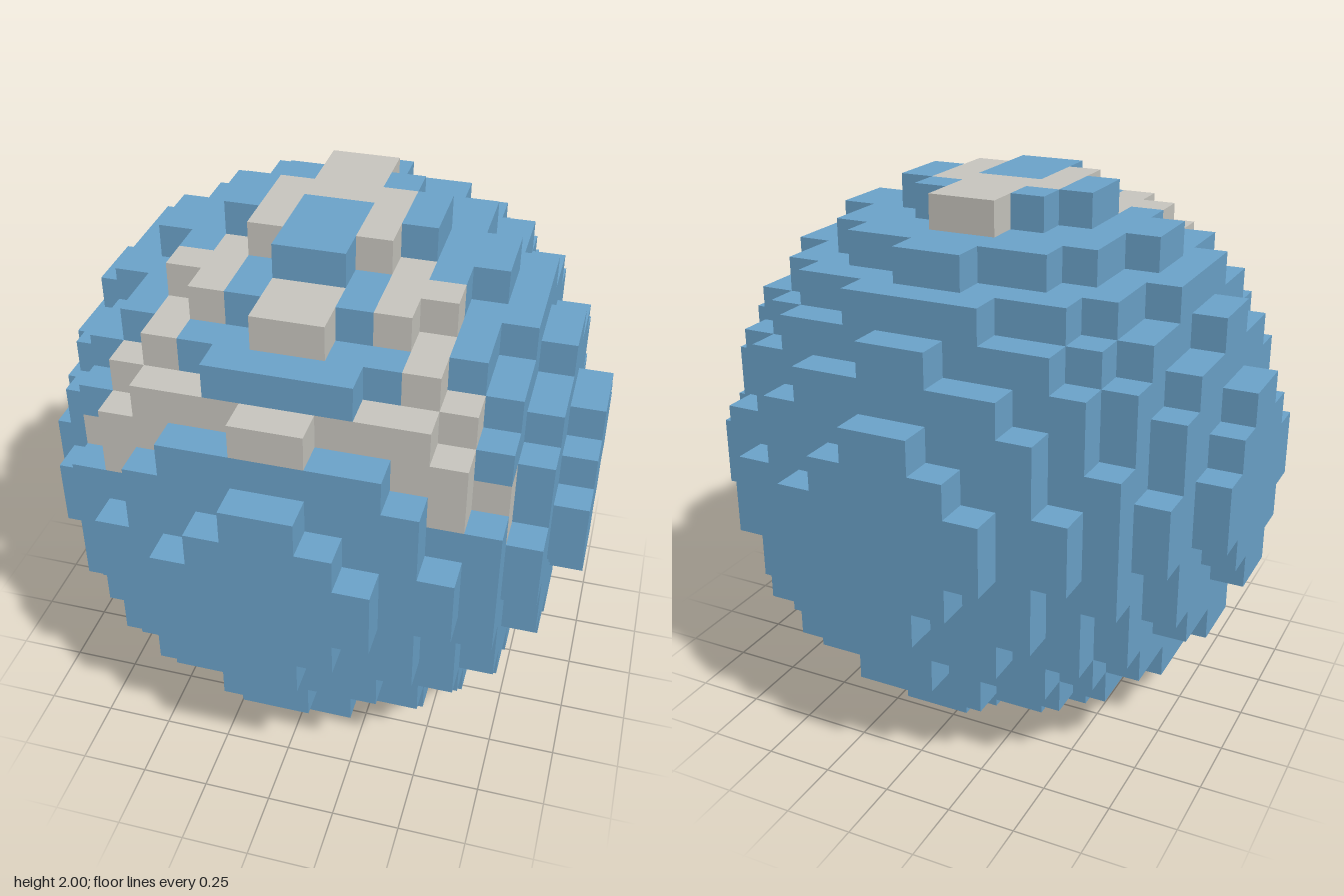
import * as THREE from 'three';
import { mergeGeometries } from 'three/addons/utils/BufferGeometryUtils.js';

const CELL = 0.125; // edge of one cube; the ball is 16 cubes across
const RADIUS = 8;

// Marking cubes on the +x half, mirrored to -x: [x, y, z] cell index from the centre
const MARKING = [
  // loop on the crown
  [0, 7, -3], [0, 7, -2], [0, 7, -1], [1, 7, -1], [1, 7, 0], [1, 7, 1],
  // branch running down to the cross band
  [2, 6, 1], [2, 6, 2], [3, 6, 2], [2, 6, 3], [3, 5, 3], [3, 5, 4],
  // patch on the forehead
  [0, 6, 3], [0, 6, 4],
  // cross band
  [0, 4, 6], [1, 4, 5], [2, 4, 5], [3, 4, 5], [4, 4, 4],
  // tail at each side
  [3, 3, 5], [4, 3, 5], [4, 2, 5], [5, 2, 4], [5, 1, 4],
];

const key = (x, y, z) => `${x},${y},${z}`;
const marked = new Set(MARKING.flatMap(([x, y, z]) => [key(x, y, z), key(-1 - x, y, z)]));

// A cube belongs to the ball when its centre is inside the sphere
const inside = (x, y, z) =>
  (x + 0.5) ** 2 + (y + 0.5) ** 2 + (z + 0.5) ** 2 < RADIUS ** 2;

const DIRECTIONS = [[1, 0, 0], [-1, 0, 0], [0, 1, 0], [0, -1, 0], [0, 0, 1], [0, 0, -1]];

// One outward square for each cube direction
const FACES = DIRECTIONS.map((d) => {
  const normal = new THREE.Vector3(...d);
  const turn = new THREE.Quaternion().setFromUnitVectors(new THREE.Vector3(0, 0, 1), normal);
  const square = new THREE.PlaneGeometry(CELL, CELL)
    .applyQuaternion(turn)
    .translate(...normal.multiplyScalar(CELL / 2).toArray());
  return { d, square };
});

export function createModel() {
  const blue = new THREE.MeshStandardMaterial({ color: 0x6ca4cb });
  blue.name = 'blue';
  const stone = new THREE.MeshStandardMaterial({ color: 0xc9c7c0 });
  stone.name = 'pale stone';

  // Collect only the exposed faces, sorted by colour
  const ballFaces = [];
  const markingFaces = [];
  for (let x = -RADIUS; x < RADIUS; x++) {
    for (let y = -RADIUS; y < RADIUS; y++) {
      for (let z = -RADIUS; z < RADIUS; z++) {
        if (!inside(x, y, z)) continue;
        const target = marked.has(key(x, y, z)) ? markingFaces : ballFaces;
        for (const { d, square } of FACES) {
          if (inside(x + d[0], y + d[1], z + d[2])) continue;
          target.push(square.clone().translate(
            (x + 0.5) * CELL, (y + 0.5) * CELL + 1, (z + 0.5) * CELL));
        }
      }
    }
  }

  const ball = new THREE.Mesh(mergeGeometries(ballFaces), blue);
  ball.name = 'ball';
  const marking = new THREE.Mesh(mergeGeometries(markingFaces), stone);
  marking.name = 'marking';

  const group = new THREE.Group();
  group.name = 'blockBall';
  group.add(ball, marking);
  return group;
}
